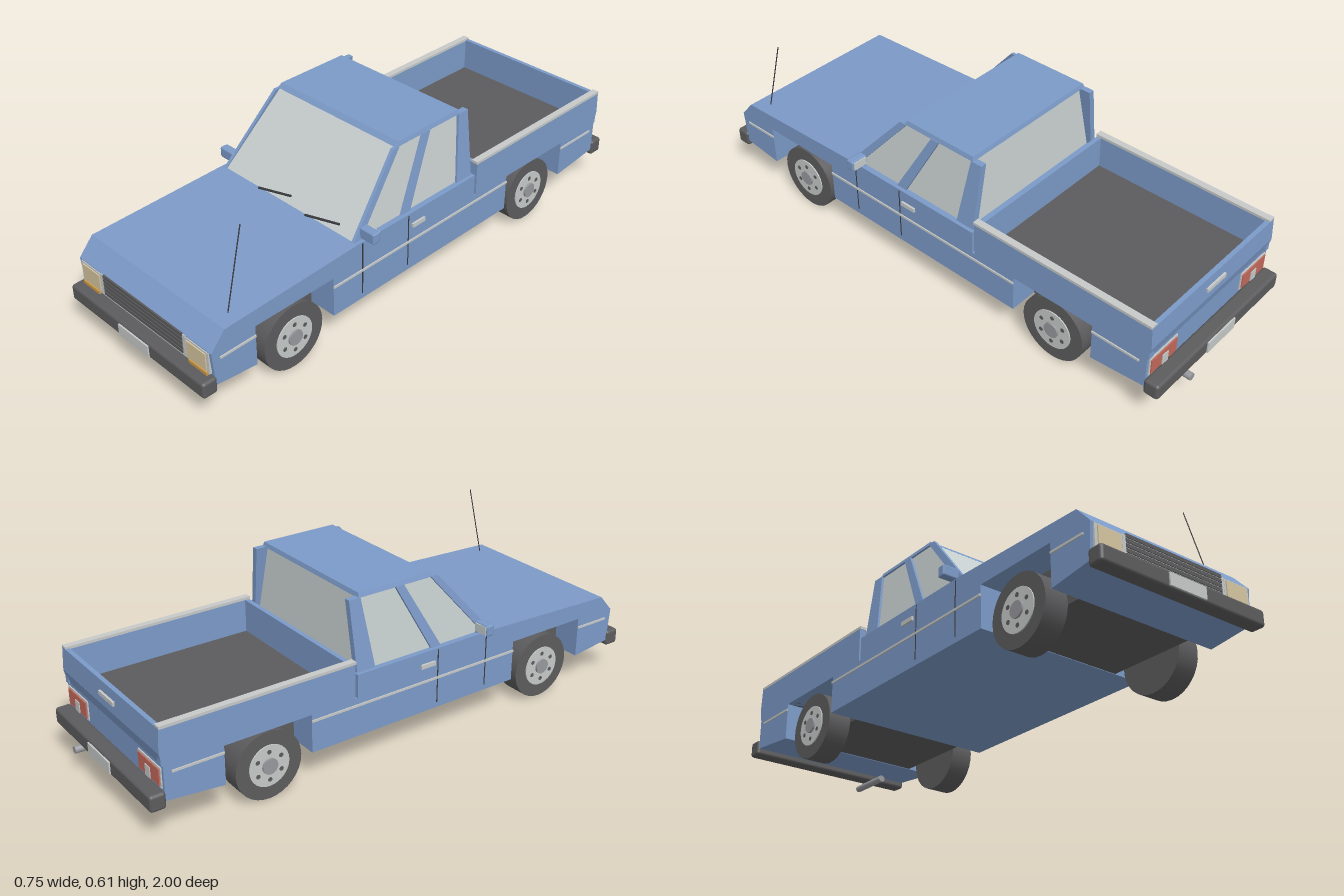
import * as THREE from 'three';
import { RoundedBoxGeometry } from 'three/addons/geometries/RoundedBoxGeometry.js';
import { ConvexGeometry } from 'three/addons/geometries/ConvexGeometry.js';

const mat = (name, color) => Object.assign(new THREE.MeshStandardMaterial({ color }), { name });

export function createModel() {
  const blue = mat('blue paint', 0x7c9ac8);
  const dark = mat('dark trim', 0x5c5c5e);
  const black = mat('black rubber', 0x3c3c3e);
  const light = mat('light metal', 0xc6cac8);
  const glass = mat('glass', 0xc6cecd);
  const lens = mat('headlight lens', 0xd6c6a0);
  const orange = mat('orange indicator', 0xd09a48);
  const red = mat('red lamp', 0xc46a5c);
  const steel = mat('steel', 0x98999e);

  const truck = new THREE.Group();
  truck.name = 'pickupTruck';

  const add = (name, geometry, material, parent = truck) => {
    const mesh = new THREE.Mesh(geometry, material);
    mesh.name = name;
    parent.add(mesh);
    return mesh;
  };
  // box given by its limits on each axis
  const box = (name, material, [x0, x1], [y0, y1], [z0, z1], parent) => {
    const g = new THREE.BoxGeometry(x1 - x0, y1 - y0, z1 - z0);
    g.translate((x0 + x1) / 2, (y0 + y1) / 2, (z0 + z1) / 2);
    return add(name, g, material, parent);
  };
  // side profile of [z, y] points, extruded across the width
  const profile = (name, material, points, halfWidth) => {
    const shape = new THREE.Shape(points.map(([z, y]) => new THREE.Vector2(-z, y)));
    const g = new THREE.ExtrudeGeometry(shape, { depth: halfWidth * 2, bevelEnabled: false });
    g.translate(0, 0, -halfWidth).rotateY(Math.PI / 2);
    return add(name, g, material);
  };
  const hull = (name, material, points) =>
    add(name, new ConvexGeometry(points.map(p => new THREE.Vector3(...p))), material);
  const rod = (name, material, a, b, radius, sides = 8) => {
    const from = new THREE.Vector3(...a), to = new THREE.Vector3(...b);
    const mesh = add(name, new THREE.CylinderGeometry(radius, radius, from.distanceTo(to), sides), material);
    mesh.position.copy(from).add(to).multiplyScalar(0.5);
    mesh.quaternion.setFromUnitVectors(new THREE.Vector3(0, 1, 0), to.sub(from).normalize());
    return mesh;
  };

  // Lower body with square wheel openings
  profile('body', blue, [
    [0.94, 0.14], [0.95, 0.265], [0.895, 0.327], [0.35, 0.345], [-0.225, 0.345], [-0.225, 0.26],
    [-0.932, 0.26], [-0.932, 0.14], [-0.725, 0.12], [-0.725, 0.27 - 0.012], [-0.405, 0.258], [-0.405, 0.12],
    [0.455, 0.12], [0.455, 0.27], [0.78, 0.27], [0.78, 0.12],
  ], 0.333);
  box('frontWheelWell', dark, [-0.228, 0.228], [0.121, 0.269], [0.456, 0.779]);
  box('rearWheelWell', dark, [-0.228, 0.228], [0.121, 0.257], [-0.724, -0.406]);

  // Cargo bed
  box('bedFloor', dark, [-0.31, 0.31], [0.258, 0.264], [-0.925, -0.25]);
  box('bedFrontWall', blue, [-0.333, 0.333], [0.26, 0.385], [-0.252, -0.235]);
  profile('tailgate', blue, [[-0.922, 0.26], [-0.922, 0.388], [-0.938, 0.388], [-0.943, 0.305], [-0.932, 0.26]], 0.333);
  box('tailgateHandle', light, [-0.05, 0.05], [0.338, 0.353], [-0.948, -0.938]);

  // Cab: glass block, roof and pillars
  const glassPoints = [];
  for (const s of [-1, 1]) {
    glassPoints.push([s * 0.312, 0.344, 0.348], [s * 0.275, 0.59, 0.118],
      [s * 0.312, 0.344, -0.2], [s * 0.275, 0.59, -0.178]);
  }
  hull('cabGlass', glass, glassPoints);
  const roofPoints = [];
  for (const s of [-1, 1]) {
    roofPoints.push([s * 0.283, 0.586, 0.122], [s * 0.283, 0.586, -0.187],
      [s * 0.278, 0.602, 0.108], [s * 0.278, 0.602, -0.183]);
  }
  hull('roof', blue, roofPoints);

  // pillar between z ranges at the belt line and at the roof
  const pillar = (name, s, [b0, b1], [t0, t1], inset = 0.016) => {
    const points = [];
    for (const [x, y, z0, z1] of [[0.32, 0.344, b0, b1], [0.285, 0.588, t0, t1]])
      for (const z of [z0, z1]) points.push([s * x, y, z], [s * (x - inset), y, z]);
    hull(name, blue, points);
  };

  for (const s of [-1, 1]) {
    const side = s > 0 ? 'left' : 'right';
    const span = (a, b) => (s > 0 ? [a, b] : [-b, -a]);

    pillar(side + 'FrontPillar', s, [0.318, 0.352], [0.108, 0.138], 0.012);
    pillar(side + 'MiddlePillar', s, [0.09, 0.132], [-0.038, -0.004]);
    pillar(side + 'RearPillar', s, [-0.218, -0.145], [-0.225, -0.18], 0.022);

    box(side + 'BedWall', blue, span(0.31, 0.333), [0.26, 0.385], [-0.938, -0.235]);
    box(side + 'BedRail', light, span(0.309, 0.334), [0.385, 0.395], [-0.938, -0.232]);

    // Side trim, door seams and handle
    for (const [z0, z1] of [[0.78, 0.92], [-0.405, 0.455], [-0.905, -0.725]])
      box(side + 'TrimStrip', light, span(0.332, 0.337), [0.231, 0.239], [z0, z1]);
    for (const z of [0.325, 0.11])
      box(side + 'DoorSeam', black, span(0.332, 0.334), [0.14, 0.34], [z - 0.002, z + 0.002]);
    box(side + 'DoorHandle', light, span(0.332, 0.341), [0.288, 0.303], [0.035, 0.095]);

    // Mirror
    const mirror = add(side + 'Mirror', new RoundedBoxGeometry(0.066, 0.04, 0.032, 1, 0.006), blue);
    mirror.position.set(s * 0.344, 0.37, 0.304);
    box(side + 'MirrorGlass', glass, span(0.317, 0.371), [0.355, 0.385], [0.285, 0.289]);
    hull(side + 'MirrorArm', blue, [
      [s * 0.305, 0.344, 0.315], [s * 0.322, 0.344, 0.315], [s * 0.305, 0.344, 0.29], [s * 0.322, 0.344, 0.29],
      [s * 0.31, 0.375, 0.312], [s * 0.325, 0.375, 0.312], [s * 0.31, 0.375, 0.295], [s * 0.325, 0.375, 0.295]]);

    // Front lamps
    box(side + 'HeadlightFrame', light, span(0.214, 0.322), [0.182, 0.262], [0.935, 0.953]);
    box(side + 'HeadlightLens', lens, span(0.221, 0.311), [0.192, 0.255], [0.95, 0.957]);
    box(side + 'Indicator', orange, span(0.23, 0.315), [0.176, 0.188], [0.94, 0.959]);

    // Rear lamps
    box(side + 'TailLampFrame', light, span(0.178, 0.322), [0.18, 0.25], [-0.936, -0.93]);
    box(side + 'TailLamp', red, span(0.184, 0.316), [0.186, 0.244], [-0.94, -0.934]);
    box(side + 'ReverseLamp', light, span(0.232, 0.262), [0.186, 0.225], [-0.943, -0.938]);

    // Wheels
    for (const z of [0.615, -0.56]) {
      const wheel = new THREE.Group();
      wheel.name = side + (z > 0 ? 'FrontWheel' : 'RearWheel');
      wheel.position.set(s * 0.275, 0.122, z);
      wheel.rotation.y = s > 0 ? 0 : Math.PI;
      truck.add(wheel);
      const disc = (name, material, r, x0, x1, y = 0, dz = 0, n = 32) => {
        const g = new THREE.CylinderGeometry(r, r, x1 - x0, n).rotateZ(Math.PI / 2);
        add(name, g.translate((x0 + x1) / 2, y, dz), material, wheel);
      };
      disc('tyre', dark, 0.122, -0.043, 0.043);
      disc('rim', light, 0.074, 0.03, 0.047);
      disc('hubCap', steel, 0.028, 0.04, 0.054, 0, 0, 20);
      for (let i = 0; i < 6; i++) {
        const a = (i + 0.5) * Math.PI / 3;
        disc('rimHole', dark, 0.008, 0.044, 0.0485, Math.sin(a) * 0.05, Math.cos(a) * 0.05, 8);
      }
    }
  }

  // Grille
  box('grilleFrame', light, [-0.213, 0.213], [0.182, 0.264], [0.935, 0.953]);
  for (let i = 0; i < 5; i++) {
    const y = 0.191 + i * 0.0162;
    box('grilleSlot', dark, [-0.2, 0.2], [y, y + 0.0125], [0.95, 0.956]);
  }

  // Bumpers and blank plates
  for (const s of [1, -1]) {
    const end = s > 0 ? 'front' : 'rear';
    const bumper = add(end + 'Bumper', new RoundedBoxGeometry(0.68, 0.059, 0.056, 2, 0.011), dark);
    bumper.position.set(0, 0.146, s > 0 ? 0.966 : -0.958);
    const z = s > 0 ? 0.995 : -0.987;
    box(end + 'Plate', light, [-0.076, 0.076], [0.124, 0.167], [z - 0.004, z + 0.004]);
  }

  // Wipers, aerial and exhaust
  for (const x of [-0.135, 0.095])
    rod('wiper', black, [x, 0.348, 0.354], [x + 0.14, 0.369, 0.332], 0.004, 6);
  rod('aerial', black, [0.283, 0.328, 0.84], [0.273, 0.606, 0.765], 0.002, 6);
  rod('exhaust', steel, [0.169, 0.097, -0.83], [0.169, 0.097, -1.0], 0.013, 16);

  return truck;
}
